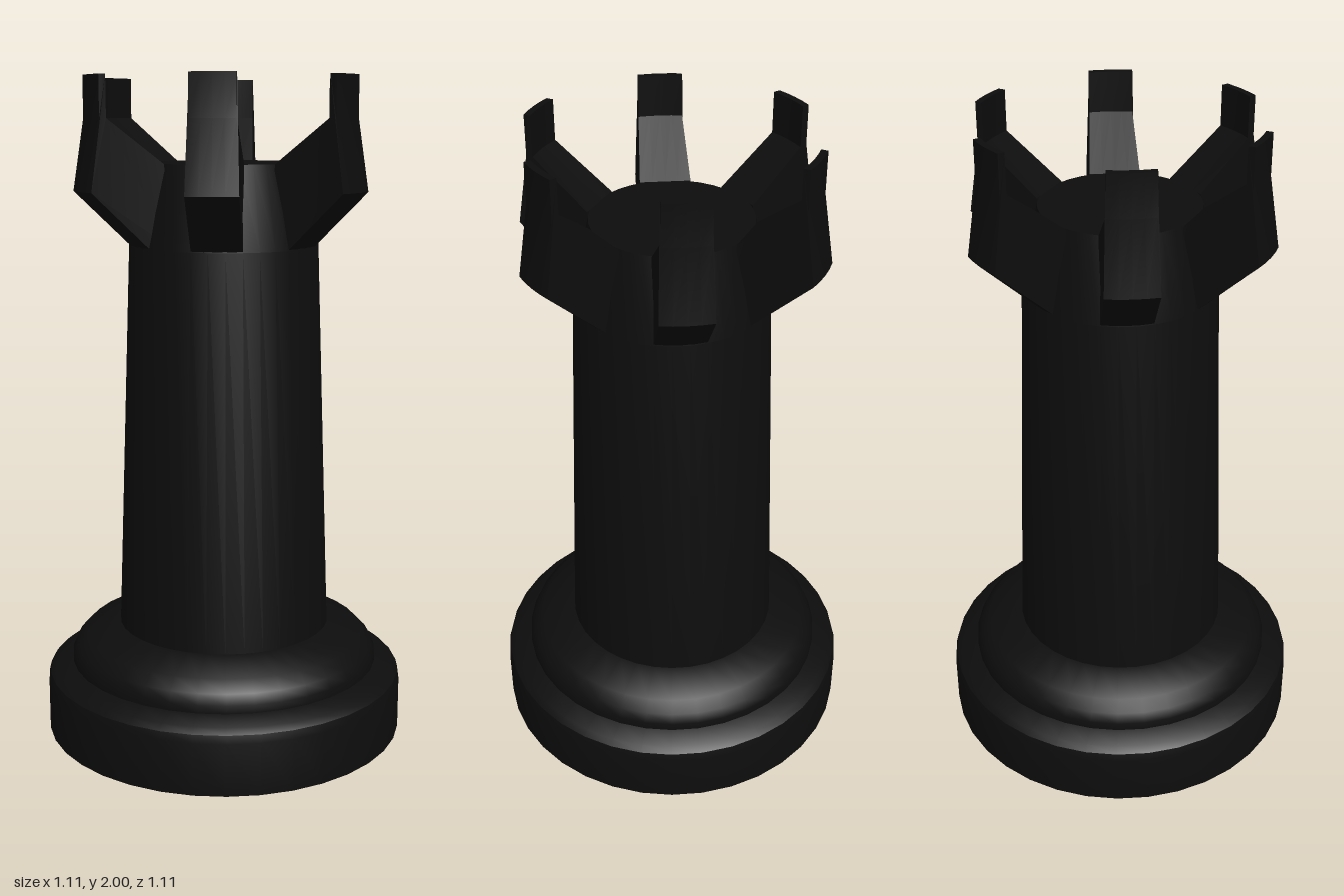
import * as THREE from 'three';
import { toCreasedNormals } from 'three/addons/utils/BufferGeometryUtils.js';

const SIDES = 36;
const MERLONS = 6;
const material = new THREE.MeshStandardMaterial({ color: 0x0d0d0d });

// Turned part from [radius, height] pairs, bottom to top
function turned(name, profile, crease = 0.6) {
  const points = profile.map(([r, y]) => new THREE.Vector2(r, y));
  const geometry = toCreasedNormals(new THREE.LatheGeometry(points, SIDES), crease);
  const mesh = new THREE.Mesh(geometry, material);
  mesh.name = name;
  return mesh;
}

// Merlon: radial profile extruded sideways, bent to follow the tower's circle
function merlonGeometry() {
  const profile = [
    [0.2, 1.51], [0.28, 1.51], [0.452, 1.675], [0.42, 1.88],
    [0.42, 2], [0.4, 2], [0.4, 1.88], [0.225, 1.752],
  ];
  const shape = new THREE.Shape(profile.map(([r, y]) => new THREE.Vector2(r, y)));
  const geometry = new THREE.ExtrudeGeometry(shape, { depth: 1, steps: 4, bevelEnabled: false });
  const pos = geometry.attributes.position;
  for (let i = 0; i < pos.count; i++) {
    const r = pos.getX(i), y = pos.getY(i);
    // Upright blade is a little narrower than the bracket below it
    const width = y > 1.8 ? 0.128 : 0.147;
    const z = (pos.getZ(i) - 0.5) * width;
    const x = r > 0.25 ? Math.sqrt(r * r - z * z) : r;
    pos.setXYZ(i, x, y, z);
  }
  return toCreasedNormals(geometry, 0.35);
}

export function createModel() {
  const model = new THREE.Group();
  model.name = 'chessRook';

  // Stepped foot with rounded shoulders
  model.add(turned('base', [
    [0, 0], [0.556, 0], [0.556, 0.16], [0.55, 0.183], [0.532, 0.198],
    [0.478, 0.215], [0.478, 0.24], [0.465, 0.27], [0.434, 0.302], [0.325, 0.335], [0, 0.335],
  ]));

  // Tapered shaft, narrowing again between the merlons to a flat top
  model.add(turned('tower', [
    [0.327, 0.325], [0.284, 1.51], [0.232, 1.752], [0, 1.752],
  ], 0.4));

  // Ring of flared merlons
  const crown = new THREE.Group();
  crown.name = 'crown';
  const geometry = merlonGeometry();
  for (let i = 0; i < MERLONS; i++) {
    const merlon = new THREE.Mesh(geometry, material);
    merlon.name = `merlon${i + 1}`;
    merlon.rotation.y = -Math.PI / 12 - (i / MERLONS) * Math.PI * 2;
    crown.add(merlon);
  }
  model.add(crown);

  return model;
}
